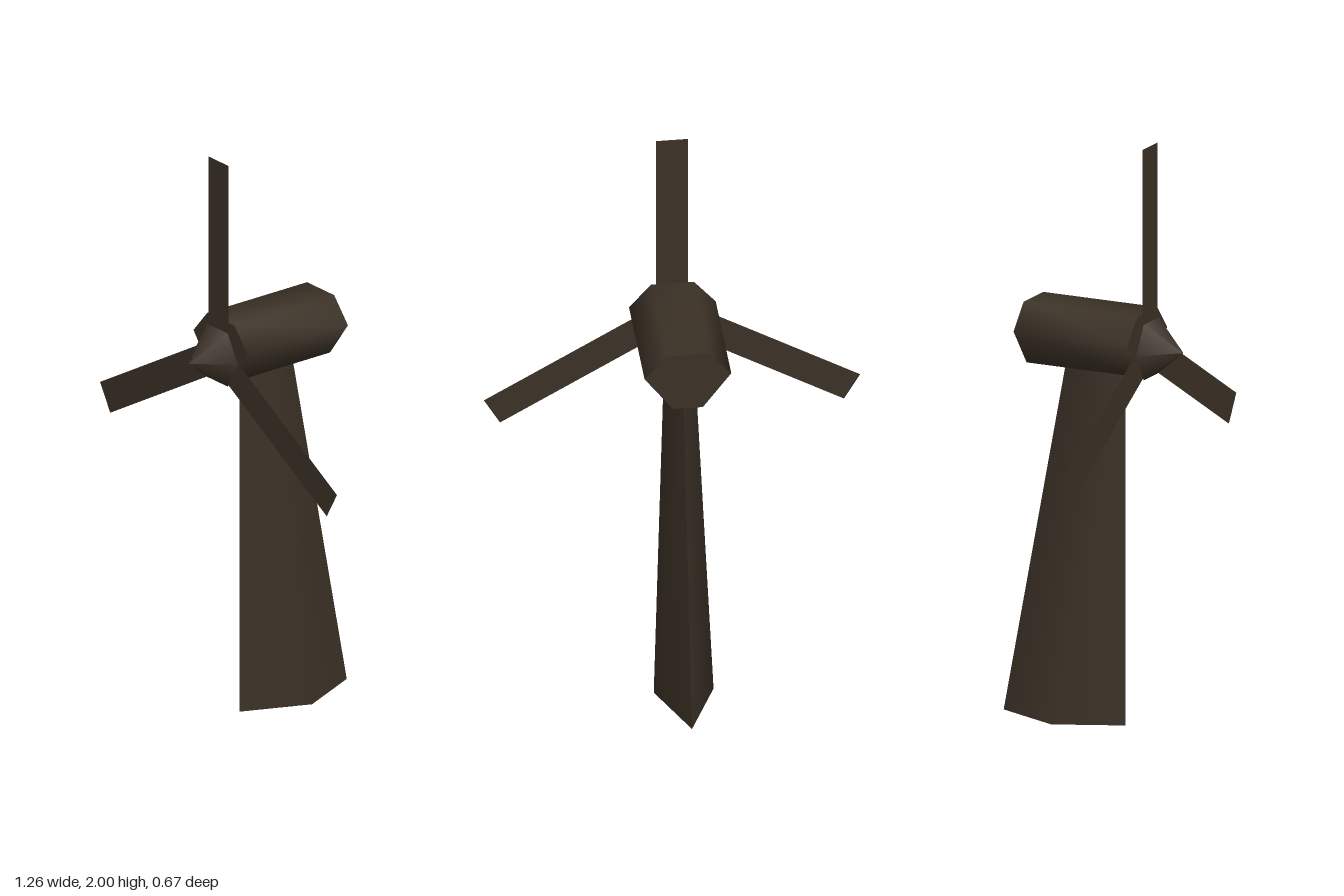
import * as THREE from 'three';
import { toCreasedNormals } from 'three/addons/utils/BufferGeometryUtils.js';

const CREASE = THREE.MathUtils.degToRad(80);

// Closed solid between two matching rings, counter-clockwise as seen from the end ring's side
function loft(start, end) {
  const n = start.length;
  const positions = [...start, ...end].flat();
  const index = [];
  for (let i = 0; i < n; i++) {
    const j = (i + 1) % n;
    index.push(i, j, n + j, i, n + j, n + i);
  }
  for (let i = 1; i < n - 1; i++) {
    index.push(0, i + 1, i, n, n + i, n + i + 1);
  }
  const geometry = new THREE.BufferGeometry();
  geometry.setAttribute('position', new THREE.Float32BufferAttribute(positions, 3));
  geometry.setIndex(index);
  return toCreasedNormals(geometry, CREASE);
}

export function createModel() {
  const model = new THREE.Group();
  model.name = 'windTurbine';

  const brown = new THREE.MeshStandardMaterial({ color: 0x3b3126, side: THREE.DoubleSide });
  brown.name = 'darkBrown';

  function add(name, geometry) {
    const mesh = new THREE.Mesh(geometry, brown);
    mesh.name = name;
    model.add(mesh);
    return mesh;
  }

  // Tower: diamond section with an upright front ridge and a sloping back ridge
  const diamond = (y, halfWidth, front, back) => {
    const middle = (front + back) / 2;
    return [[0, y, front], [halfWidth, y, middle], [0, y, back], [-halfWidth, y, middle]];
  };
  add('tower', loft(diamond(0, 0.1, 0.12, -0.335), diamond(1.218, 0.052, 0.12, -0.103)));

  // Nacelle: six-sided housing, narrower underneath
  const hexagon = (z) => [
    [0.05, 1.217, z], [0.145, 1.345, z], [0.072, 1.43, z],
    [-0.072, 1.43, z], [-0.145, 1.345, z], [-0.05, 1.217, z],
  ];
  add('nacelle', loft(hexagon(-0.224), hexagon(0.2)));

  // Nose cone: six-sided, pointing forward, with corners at left and right
  const cone = new THREE.ConeGeometry(0.11, 0.12, 6);
  cone.rotateY(Math.PI / 6).rotateX(Math.PI / 2).rotateZ(Math.PI / 6);
  cone.computeBoundingBox();
  if (cone.boundingBox.max.x < 0.105) cone.rotateZ(Math.PI / 6);
  add('noseCone', toCreasedNormals(cone, CREASE)).position.set(0, 1.305, 0.275);

  // Three thin flat blades around the hub
  for (let i = 0; i < 3; i++) {
    const geometry = new THREE.PlaneGeometry(0.108, 0.695);
    geometry.translate(0, 0.695 / 2, 0);
    const blade = add('blade' + (i + 1), geometry);
    blade.position.set(0, 1.305, 0.21);
    blade.rotation.z = (i * Math.PI * 2) / 3;
  }

  return model;
}
